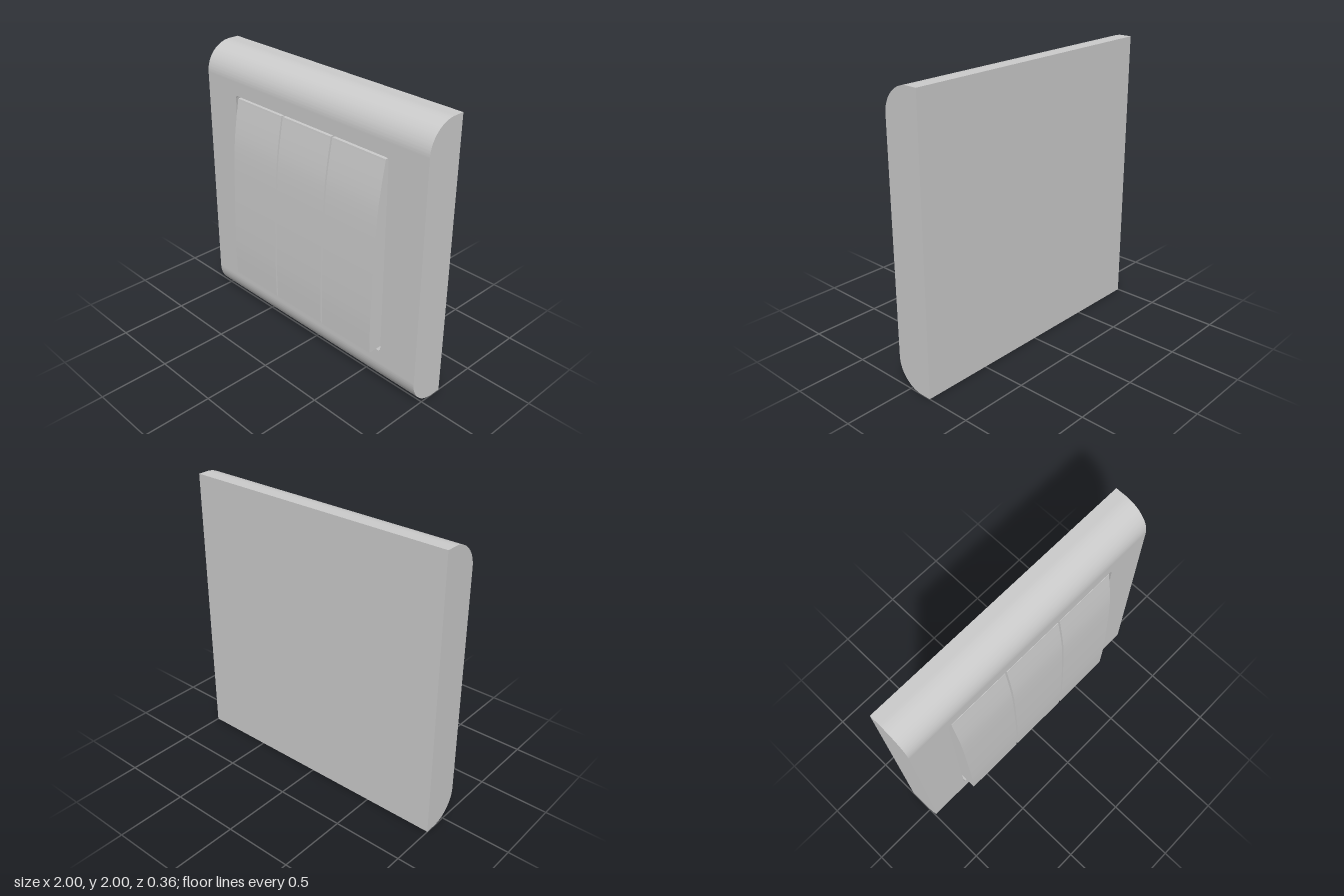
import * as THREE from 'three';
import { toCreasedNormals } from 'three/addons/utils/BufferGeometryUtils.js';

const BACK = -0.178, FRONT = 0.095, FLOOR = 0.04; // z of plate back, plate front, recess floor
const R = 0.2; // rounding of the plate's top and bottom edges

const material = new THREE.MeshStandardMaterial({ color: 0xcccccc });

function addMesh(group, name, geometry) {
  const mesh = new THREE.Mesh(toCreasedNormals(geometry, 0.5), material);
  mesh.name = name;
  group.add(mesh);
  return mesh;
}

// Extrudes a side profile drawn as (z, y) along x, centred on x = 0
function extrudeAlongX(shape, width) {
  const geometry = new THREE.ExtrudeGeometry(shape, { depth: width, bevelEnabled: false, curveSegments: 24 });
  geometry.rotateY(-Math.PI / 2);
  geometry.translate(width / 2, 0, 0);
  return geometry;
}

function roundedRect(path, x0, y0, x1, y1, r) {
  path.moveTo(x0 + r, y0);
  path.lineTo(x1 - r, y0);
  path.absarc(x1 - r, y0 + r, r, -Math.PI / 2, 0, false);
  path.lineTo(x1, y1 - r);
  path.absarc(x1 - r, y1 - r, r, 0, Math.PI / 2, false);
  path.lineTo(x0 + r, y1);
  path.absarc(x0 + r, y1 - r, r, Math.PI / 2, Math.PI, false);
  path.lineTo(x0, y0 + r);
  path.absarc(x0 + r, y0 + r, r, Math.PI, Math.PI * 1.5, false);
  return path;
}

export function createModel() {
  const group = new THREE.Group();
  group.name = 'wallSwitch';

  // Wall plate body: rounded top and bottom, cut back to the recess floor in between
  const body = new THREE.Shape();
  body.moveTo(BACK, 0);
  body.lineTo(FRONT - R, 0);
  body.absarc(FRONT - R, R, R, -Math.PI / 2, 0, false);
  body.lineTo(FLOOR, R);
  body.lineTo(FLOOR, 2 - R);
  body.lineTo(FRONT, 2 - R);
  body.absarc(FRONT - R, 2 - R, R, 0, Math.PI / 2, false);
  body.lineTo(BACK, 2);
  body.closePath();
  addMesh(group, 'plateBody', extrudeAlongX(body, 2));

  // Flat front frame with the rounded opening for the rockers
  const frame = new THREE.Shape();
  frame.moveTo(-1, R);
  frame.lineTo(1, R);
  frame.lineTo(1, 2 - R);
  frame.lineTo(-1, 2 - R);
  frame.closePath();
  frame.holes.push(roundedRect(new THREE.Path(), -0.703, 0.3, 0.703, 1.703, 0.022));
  const frameGeometry = new THREE.ExtrudeGeometry(frame, { depth: FRONT - FLOOR, bevelEnabled: false, curveSegments: 8 });
  frameGeometry.translate(0, 0, FLOOR);
  addMesh(group, 'plateFrame', frameGeometry);

  // Three curved rockers, standing proud at the bottom and flush at the top
  const rocker = new THREE.Shape();
  rocker.moveTo(FLOOR, 0.318);
  rocker.lineTo(0.175, 0.318);
  rocker.splineThru([[0.178, 0.6], [0.166, 1.0], [0.143, 1.38], [0.094, 1.688]].map(([z, y]) => new THREE.Vector2(z, y)));
  rocker.lineTo(FLOOR, 1.688);
  rocker.closePath();
  ['rightRocker', 'middleRocker', 'leftRocker'].forEach((name, i) => {
    addMesh(group, name, extrudeAlongX(rocker, 0.444)).position.x = (i - 1) * 0.4575;
  });

  return group;
}
